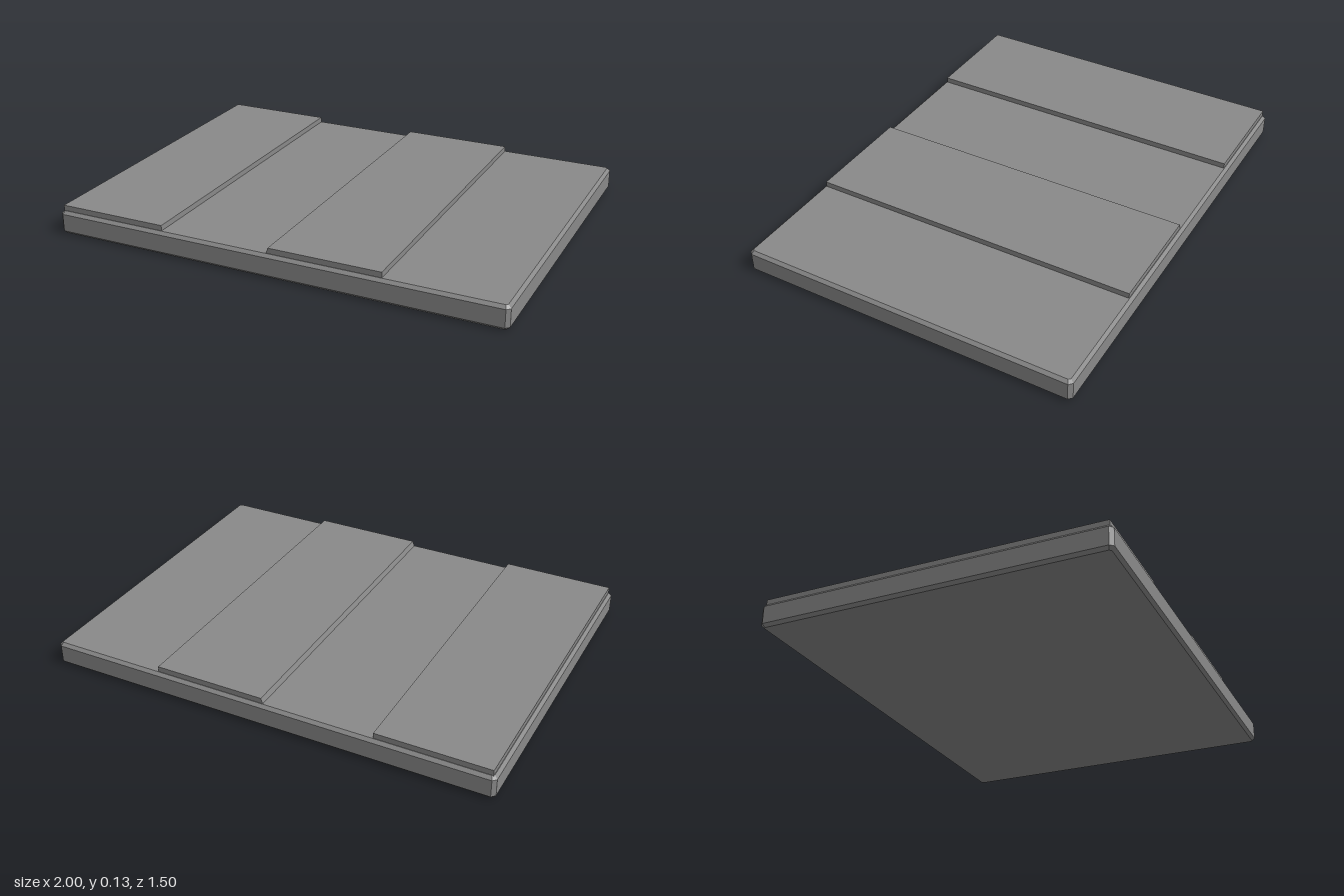
import * as THREE from 'three';

const material = new THREE.MeshStandardMaterial({ color: 0x898989, flatShading: true });

const shapeOf = (points) => new THREE.Shape(points.map(([a, b]) => new THREE.Vector2(a, b)));

// Slab with cut corners and chamfered rims, resting on y = 0
function chamferedSlab(width, height, depth, c) {
  const x = width / 2 - c, z = depth / 2 - c; // bevel grows the outline by c
  const k = c * 0.6;
  const outline = shapeOf([
    [x - k, -z], [x, -z + k], [x, z - k], [x - k, z],
    [-x + k, z], [-x, z - k], [-x, -z + k], [-x + k, -z],
  ]);
  return new THREE.ExtrudeGeometry(outline, {
    depth: height - 2 * c, bevelEnabled: true, bevelSegments: 1, bevelSize: c, bevelThickness: c,
  }).translate(0, 0, c).rotateX(-Math.PI / 2);
}

// Plank running front to back; its -x side leans in by slope
function plank(x0, x1, slope) {
  const bottom = 0.09, top = 0.127, length = 1.47;
  const profile = shapeOf([[x0 - slope, bottom], [x1, bottom], [x1, top], [x0, top]]);
  return new THREE.ExtrudeGeometry(profile, { depth: length, bevelEnabled: false })
    .translate(0, 0, -length / 2);
}

export function createModel() {
  const model = new THREE.Group();
  const add = (name, geometry) => {
    const mesh = new THREE.Mesh(geometry, material);
    mesh.name = name;
    model.add(mesh);
  };

  // Base plate
  add('baseSlab', chamferedSlab(2, 0.103, 1.5, 0.013));

  // Two raised planks, set into the base
  add('rightPlank', plank(-0.985, -0.495, 0));
  add('centrePlank', plank(0, 0.49, 0.012));

  return model;
}
